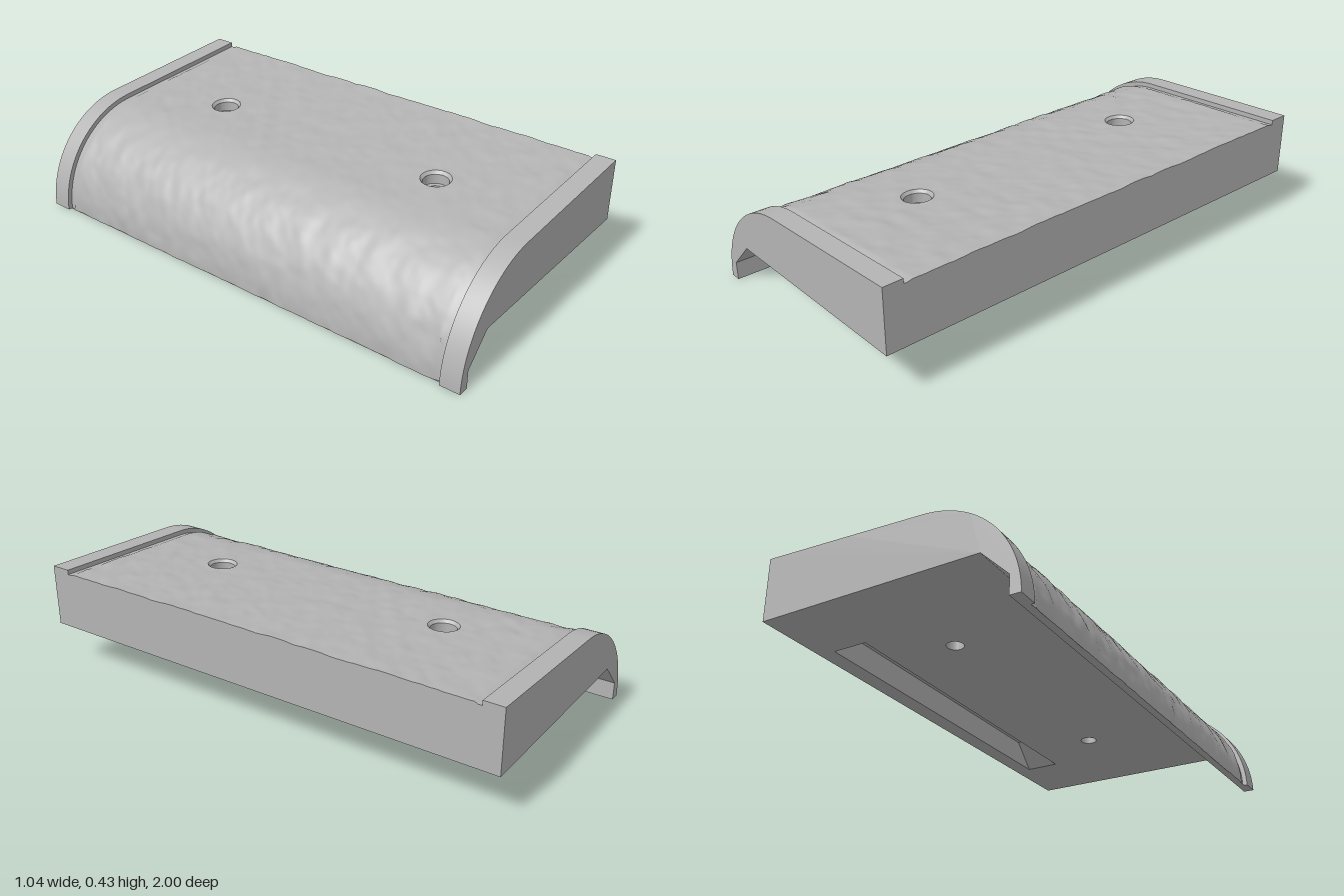
import * as THREE from 'three';
import { toCreasedNormals } from 'three/addons/utils/BufferGeometryUtils.js';

const BACK = 0.518, BASE = 0.18, RIB = 0.92, STEP = 0.013;
const CX = -0.12, R = 0.398, SLOPE = 0.0523, A0 = Math.PI, A1 = Math.PI / 2 + Math.atan(SLOPE);
const HOLE = { x: 0.045, z: 0.52, r: 0.06 };

// Point on the rounded top outline at t = 0..1, sunk inward by off
function outline(t, off) {
  const r = R - off, split = 0.47;
  if (t <= split) {
    const a = A0 + (A1 - A0) * (t / split);
    return [CX + r * Math.cos(a), Math.max(0, r * Math.sin(a))];
  }
  const xs = CX + r * Math.cos(A1), k = (t - split) / (1 - split);
  const x = xs + (BACK - xs) * k;
  return [x, r * Math.sin(A1) + SLOPE * (x - xs)];
}

// Smooth seeded value noise, -1..1
const hash = (i, j) => {
  const s = Math.sin(i * 127.1 + j * 311.7 + 17) * 43758.5453;
  return (s - Math.floor(s)) * 2 - 1;
};
function noise(u, v) {
  const i = Math.floor(u), j = Math.floor(v);
  const f = (a) => a * a * (3 - 2 * a), a = f(u - i), b = f(v - j);
  const top = hash(i, j) * (1 - a) + hash(i + 1, j) * a;
  const low = hash(i, j + 1) * (1 - a) + hash(i + 1, j + 1) * a;
  return top * (1 - b) + low * b;
}

// Rough top skin with two round openings
function skinGeometry() {
  const nu = 88, nv = 130, pos = [], inside = [], index = [];
  for (let i = -1; i <= nu + 1; i++) {
    const t = Math.min(1, Math.max(0, i / nu)), skirt = i < 0 || i > nu;
    for (let j = 0; j <= nv; j++) {
      let z = -RIB + (2 * RIB * j) / nv;
      const hz = Math.sign(z) * HOLE.z, s = t * 1.25;
      let off = STEP + 0.003 * noise(s / 0.07, z / 0.05) + 0.0015 * noise(s / 0.03 + 50, z / 0.028);
      if (Math.abs(z) > 0.905) off = STEP + 0.006;
      if (skirt) off = 0.03;
      let [x, y] = outline(t, off);
      const d = Math.hypot(x - HOLE.x, z - hz);
      inside.push(d < HOLE.r);
      if (d < HOLE.r + 0.006) {
        const k = HOLE.r / Math.max(d, 1e-4);
        x = HOLE.x + (x - HOLE.x) * k;
        z = hz + (z - hz) * k;
        y = 0.405 + SLOPE * x - STEP;
      }
      pos.push(x, y, z);
    }
  }
  const w = nv + 1;
  for (let i = 0; i < nu + 2; i++) {
    for (let j = 0; j < nv; j++) {
      const a = i * w + j, b = a + 1, c = a + w, d = c + 1;
      if (inside[a] && inside[b] && inside[c] && inside[d]) continue;
      index.push(a, b, c, b, d, c);
    }
  }
  const g = new THREE.BufferGeometry();
  g.setAttribute('position', new THREE.Float32BufferAttribute(pos, 3));
  g.setIndex(index);
  return toCreasedNormals(g, 0.8);
}

// Flat faces swept along z between the two ribs
function stripGeometry(points) {
  const pos = [];
  for (let i = 0; i < points.length - 1; i++) {
    const [ax, ay] = points[i], [bx, by] = points[i + 1];
    pos.push(ax, ay, -RIB, bx, by, -RIB, bx, by, RIB, ax, ay, -RIB, bx, by, RIB, ax, ay, RIB);
  }
  const g = new THREE.BufferGeometry();
  g.setAttribute('position', new THREE.Float32BufferAttribute(pos, 3));
  g.computeVertexNormals();
  return g;
}

export function createModel() {
  const group = new THREE.Group();
  const grey = new THREE.MeshStandardMaterial({ color: 0xb4b4b4, side: THREE.DoubleSide });
  grey.name = 'plain grey';
  const add = (name, geometry) => {
    const mesh = new THREE.Mesh(geometry, grey);
    mesh.name = name;
    group.add(mesh);
    return mesh;
  };

  // Raised smooth end ribs, full section of the block
  const section = [];
  for (let i = 0; i <= 60; i++) section.push(new THREE.Vector2(...outline(i / 60, 0)));
  for (const [x, y] of [[BACK, BASE], [-0.37, BASE], [-0.476, 0.073], [-0.476, 0]]) {
    section.push(new THREE.Vector2(x, y));
  }
  const rib = toCreasedNormals(
    new THREE.ExtrudeGeometry(new THREE.Shape(section), { depth: 1 - RIB, bevelEnabled: false }), 0.4);
  add('frontRib', rib).position.z = RIB;
  add('rearRib', rib).position.z = -1;

  add('roughTop', skinGeometry());
  add('lip', stripGeometry([[-0.505, 0], [-0.476, 0], [-0.476, 0.073], [-0.37, BASE]]));
  add('backWall', stripGeometry([[BACK, 0.412], [BACK, BASE]]));

  // Underside with openings for the slot and the two holes
  const rect = (x0, x1, z) => [[x0, -z], [x1, -z], [x1, z], [x0, z]].map((p) => new THREE.Vector2(...p));
  const under = new THREE.Shape(rect(-0.37, BACK, RIB));
  under.holes.push(new THREE.Path(rect(0.31, 0.45, 0.7)));
  for (const s of [-1, 1]) {
    under.holes.push(new THREE.Path().absarc(HOLE.x, s * HOLE.z, 0.033, 0, Math.PI * 2, true));
  }
  add('underside', new THREE.ShapeGeometry(under, 24).rotateX(Math.PI / 2)).position.y = BASE;

  // Long slot with sloping ends, open at the bottom
  const slot = new THREE.BoxGeometry(0.14, 0.1, 1.4);
  const p = slot.attributes.position;
  for (let i = 0; i < p.count; i++) if (p.getY(i) > 0) p.setZ(i, p.getZ(i) * (0.6 / 0.7));
  slot.setIndex(Array.from(slot.index.array).filter((_, i) => i < 18 || i >= 24));
  slot.computeVertexNormals();
  add('slot', slot).position.set(0.38, BASE + 0.05, 0);

  // Stepped screw holes, tilted with the top
  const top = 0.405 + SLOPE * HOLE.x - STEP;
  const bore = new THREE.LatheGeometry(
    [[0.033, BASE], [0.033, top - 0.05], [0.05, top - 0.05], [0.05, top - 0.012], [HOLE.r, top]]
      .map((q) => new THREE.Vector2(...q)), 32);
  const b = bore.attributes.position;
  for (let i = 0; i < b.count; i++) {
    if (b.getY(i) > BASE + 0.01) b.setY(i, b.getY(i) + SLOPE * b.getX(i));
  }
  const boreSharp = toCreasedNormals(bore, 0.5);
  for (const s of [-1, 1]) add(s > 0 ? 'frontHole' : 'rearHole', boreSharp).position.set(HOLE.x, 0, s * HOLE.z);

  return group;
}
